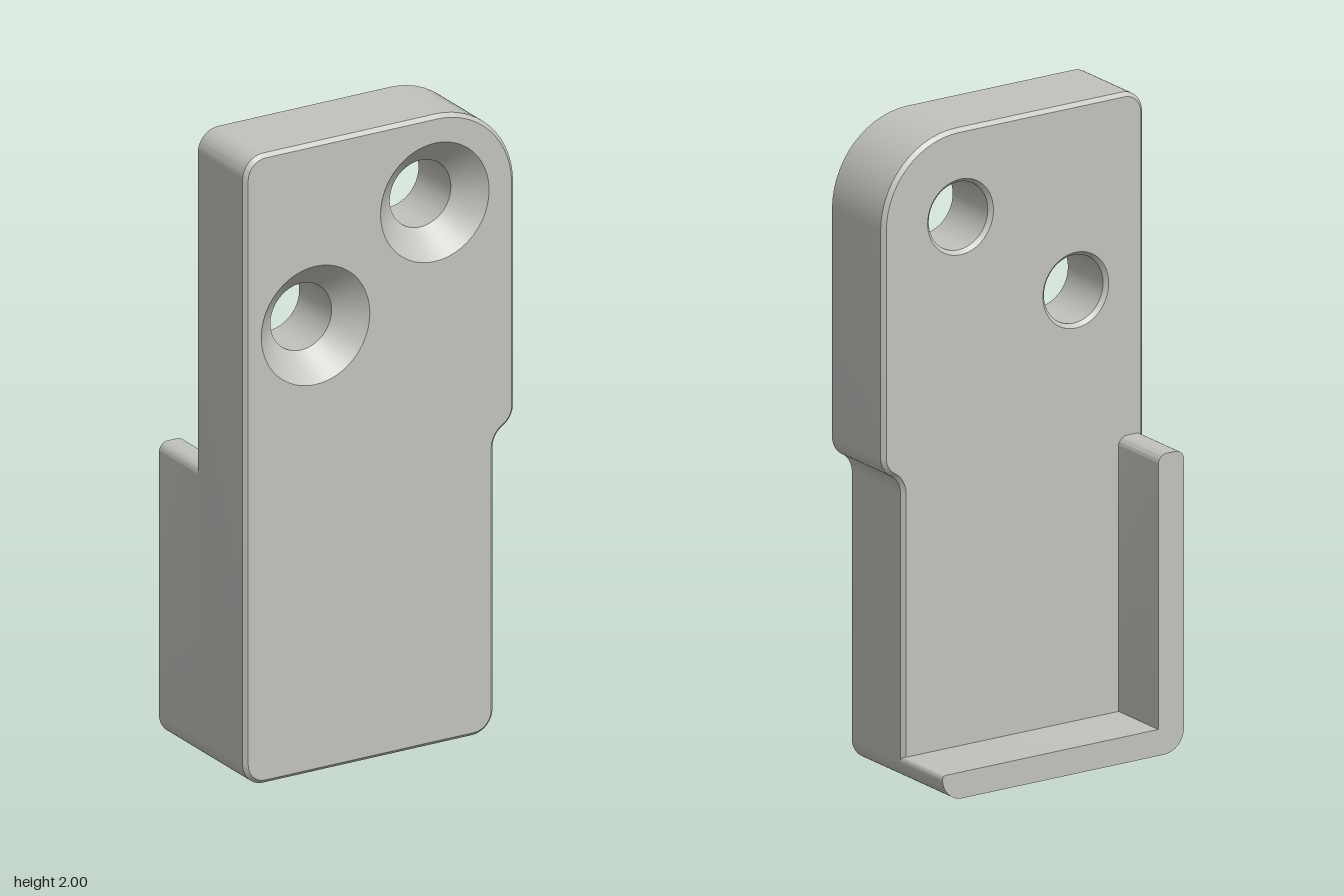
import * as THREE from 'three';
import { toCreasedNormals } from 'three/addons/utils/BufferGeometryUtils.js';

const PI = Math.PI;
const X = 0.468, NARROW = 0.397;      // half width, right edge below the step
const BACK = -0.035, FRONT = 0.242, FLANGE_BACK = -0.242, CH = 0.012;
const HOLE_R = 0.106, SINK_R = 0.188, SEG = 48;
const HOLES = [[0.19, 1.725], [-0.223, 1.42]];

// Points of an outline made of corner arcs [cx, cy, r, start, end], shrunk by inset
function outline(arcs, inset = 0, n = 14) {
  const pts = [];
  for (const [cx, cy, r, a, b] of arcs) {
    const rad = b > a ? r - inset : r + inset;
    for (let i = 0; i <= n; i++) {
      const t = a + (b - a) * i / n;
      pts.push(new THREE.Vector2(cx + rad * Math.cos(t), cy + rad * Math.sin(t)));
    }
  }
  return pts;
}

const R = 0.071;
const plateArcs = [
  [-X + R, R, R, PI, 1.5 * PI],
  [NARROW - R, R, R, 1.5 * PI, 2 * PI],
  [X, 0.9, R, PI, PI * 2 / 3],               // concave half of the step
  [NARROW, 1.023, R, -PI / 3, 0],            // convex half of the step
  [X - 0.27, 1.73, 0.27, 0, PI / 2],
  [-X + R, 2 - R, R, PI / 2, PI],
];

// Chamfered side wall lofted through [z, inset] sections
function wallGeometry(sections) {
  const pos = [], index = [];
  const n = outline(plateArcs).length;
  for (const [z, inset] of sections)
    for (const p of outline(plateArcs, inset)) pos.push(p.x, p.y, z);
  for (let k = 0; k < sections.length - 1; k++)
    for (let i = 0; i < n; i++) {
      const a = k * n + i, b = k * n + (i + 1) % n;
      index.push(a, b, b + n, a, b + n, a + n);
    }
  const g = new THREE.BufferGeometry();
  g.setAttribute('position', new THREE.Float32BufferAttribute(pos, 3));
  g.setIndex(index);
  return toCreasedNormals(g, 0.5);
}

// Flat face of the plate with round openings
function faceGeometry(z, holeRadius, facesBack) {
  const shape = new THREE.Shape(outline(plateArcs, CH));
  for (const [x, y] of HOLES) {
    const pts = [];
    for (let i = 0; i < SEG; i++) {
      const t = i / SEG * 2 * PI;
      pts.push(new THREE.Vector2(x + holeRadius * Math.cos(t), y + holeRadius * Math.sin(t)));
    }
    shape.holes.push(new THREE.Path(pts));
  }
  const g = new THREE.ShapeGeometry(shape);
  if (facesBack) g.setIndex(Array.from(g.index.array).reverse());
  g.translate(0, 0, z);
  return toCreasedNormals(g, 0.5);
}

export function createModel() {
  const model = new THREE.Group();
  const grey = new THREE.MeshStandardMaterial({ color: 0xc2c2bd });
  grey.name = 'light grey';
  const add = (name, geometry, parent = model) => {
    const mesh = new THREE.Mesh(geometry, grey);
    mesh.name = name;
    parent.add(mesh);
    return mesh;
  };

  // Plate
  const plate = new THREE.Group();
  plate.name = 'plate';
  model.add(plate);
  add('plateSides', wallGeometry([[BACK, CH], [BACK + CH, 0], [FRONT - CH, 0], [FRONT, CH]]), plate);
  add('plateFront', faceGeometry(FRONT, SINK_R, false), plate);
  add('plateBack', faceGeometry(BACK, HOLE_R + CH, true), plate);

  // Countersunk screw holes, profile from front to back so the walls face inwards
  const profile = [
    [SINK_R, FRONT], [HOLE_R, FRONT - (SINK_R - HOLE_R)],
    [HOLE_R, BACK + CH], [HOLE_R + CH, BACK],
  ].map(([r, z]) => new THREE.Vector2(r, z));
  const holeGeometry = toCreasedNormals(new THREE.LatheGeometry(profile, SEG), 0.5);
  holeGeometry.rotateX(PI / 2);
  for (const [x, y] of HOLES) add('screwHole', holeGeometry, plate).position.set(x, y, 0);

  // L-shaped flange along the side and bottom of the back
  const inner = -0.376, ledge = 0.082, top = 0.935, r = 0.03, s = 0.012;
  const flangePts = [
    ...outline([
      [-X + R, R, R, PI, 1.5 * PI],
      [NARROW - R, R, R, 1.5 * PI, 2 * PI],
      [NARROW - s, ledge - s, s, 0, PI / 2],
    ]),
    new THREE.Vector2(inner, ledge),
    ...outline([
      [inner - r, top - r, r, 0, PI / 2],
      [-X + r, top - r, r, PI / 2, PI],
    ]),
  ];
  const flange = new THREE.ExtrudeGeometry(new THREE.Shape(flangePts), {
    depth: BACK + CH - FLANGE_BACK, bevelEnabled: false,
  });
  flange.translate(0, 0, FLANGE_BACK);
  add('flange', toCreasedNormals(flange, 0.5));

  return model;
}
